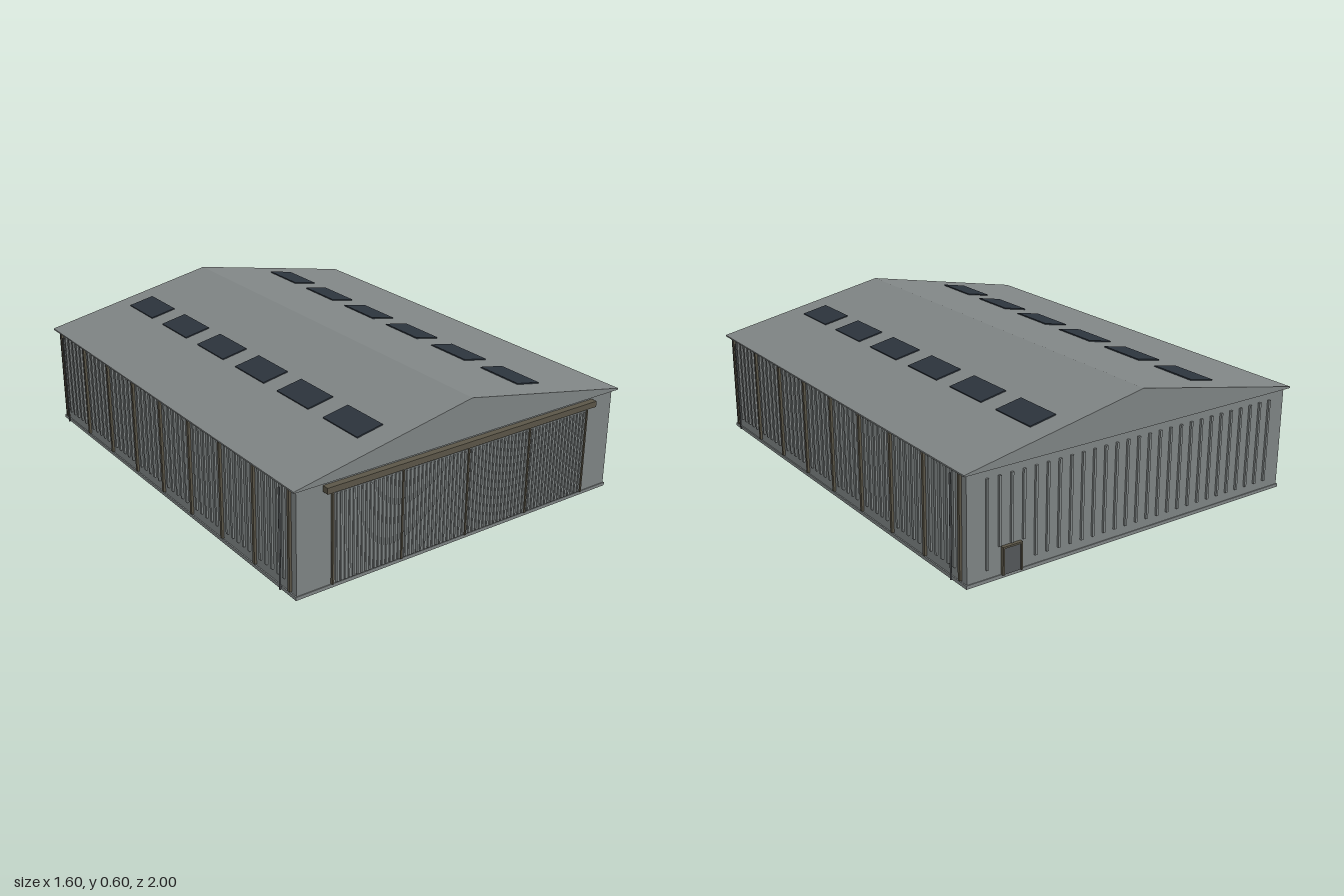
import * as THREE from 'three';

export function createModel() {
  const model = new THREE.Group();
  model.name = 'warehouse';

  const mat = (name, color) => {
    const m = new THREE.MeshStandardMaterial({ color });
    m.name = name;
    return m;
  };
  const cladding = mat('greyCladding', 0x808585);
  const steel = mat('brownSteel', 0x5b5648);
  const pipe = mat('darkGreyPipe', 0x54585a);
  const glass = mat('darkGlass', 0x2c343d);

  const add = (name, geometry, material, x = 0, y = 0, z = 0, parent = model) => {
    const mesh = new THREE.Mesh(geometry, material);
    mesh.name = name;
    mesh.position.set(x, y, z);
    parent.add(mesh);
    return mesh;
  };
  const box = (name, w, h, d, material, x, y, z, parent) =>
    add(name, new THREE.BoxGeometry(w, h, d), material, x, y, z, parent);
  const group = (name) => {
    const g = new THREE.Group();
    g.name = name;
    model.add(g);
    return g;
  };

  const ZC = -0.005;            // middle of the hall along its length
  const WX = 0.78, WZ = 0.977;  // half sizes of the walls
  const EAVE = 0.443, RIDGE = 0.6, RX = 0.8, RZ = 0.994;

  // Walls on a low plinth
  box('walls', WX * 2, EAVE, WZ * 2, cladding, 0, EAVE / 2, ZC);
  box('plinth', WX * 2 + 0.01, 0.014, WZ * 2 + 0.008, cladding, 0, 0.007, ZC);

  // Shallow gabled roof
  const gable = new THREE.Shape();
  gable.moveTo(-RX, EAVE - 0.003);
  gable.lineTo(RX, EAVE - 0.003);
  gable.lineTo(RX, EAVE + 0.003);
  gable.lineTo(0, RIDGE);
  gable.lineTo(-RX, EAVE + 0.003);
  add('roof', new THREE.ExtrudeGeometry(gable, { depth: RZ * 2, bevelEnabled: false }),
    cladding, 0, 0, ZC - RZ);

  // Six skylights on each slope
  const slope = Math.atan2(RIDGE - EAVE - 0.003, RX);
  const skylights = group('skylights');
  for (const side of [-1, 1]) {
    for (let i = 0; i < 6; i++) {
      const x = 0.392;
      const y = RIDGE - x * Math.tan(slope) + 0.002;
      const pane = box('skylight', 0.118, 0.006, 0.215, glass,
        side * x, y, -0.795 + i * 0.3135, skylights);
      pane.rotation.z = -side * slope;
    }
  }

  // Long sides: steel posts, cladding ribs and downpipes
  const sides = group('sideDetails');
  for (const side of [-1, 1]) {
    for (let i = 0; i <= 8; i++) {
      const z = ZC + (i - 4) * 0.2352;
      box('sidePost', 0.014, 0.42, 0.013, steel, side * (WX + 0.003), 0.23, z, sides);
      for (let j = 1; j < 6 && i < 8; j++) {
        box('sideRib', 0.012, 0.375, 0.012, cladding,
          side * (WX + 0.002), 0.2425, z + j * 0.0392, sides);
      }
    }
    for (const z of [0.893, -0.907]) {
      add('downpipe', new THREE.CylinderGeometry(0.004, 0.004, 0.415, 8), pipe,
        side * 0.798, 0.2175, z, sides);
    }
  }

  // Sliding doors on the front: four ribbed leaves
  const front = ZC + WZ;
  const doors = group('slidingDoors');
  const leafW = 0.315;
  for (let i = 0; i < 4; i++) {
    const x = (i - 1.5) * leafW;
    box('doorLeaf', leafW - 0.004, 0.368, 0.012, cladding, x, 0.204, front + 0.004, doors);
    for (let j = 0; j < 16; j++) {
      box('doorRib', 0.007, 0.36, 0.008, cladding,
        x + (j - 7.5) * 0.0188, 0.204, front + 0.01, doors);
    }
  }
  for (let i = -2; i <= 2; i++) {
    box('doorStile', 0.007, 0.37, 0.012, steel, i * leafW, 0.204, front + 0.01, doors);
  }
  box('doorTrack', 1.33, 0.025, 0.033, steel, 0, 0.413, 0.9835);

  // Back wall: ribs and a small framed door
  const back = ZC - WZ;
  const backWall = group('backDetails');
  const doorX = 0.59;
  for (let i = 0; i < 27; i++) {
    const x = (i - 13) * 0.0535;
    const low = Math.abs(x - doorX) < 0.055 ? 0.13 : 0.05;
    box('backRib', 0.01, 0.405 - low, 0.012, cladding,
      x, (0.405 + low) / 2, back - 0.003, backWall);
  }
  box('backDoor', 0.075, 0.105, 0.012, pipe, doorX, 0.0665, back - 0.004, backWall);
  for (const s of [-1, 1]) {
    box('doorJamb', 0.007, 0.11, 0.018, steel, doorX + s * 0.04, 0.069, back - 0.006, backWall);
  }
  box('doorLintel', 0.087, 0.007, 0.018, steel, doorX, 0.123, back - 0.006, backWall);

  return model;
}
